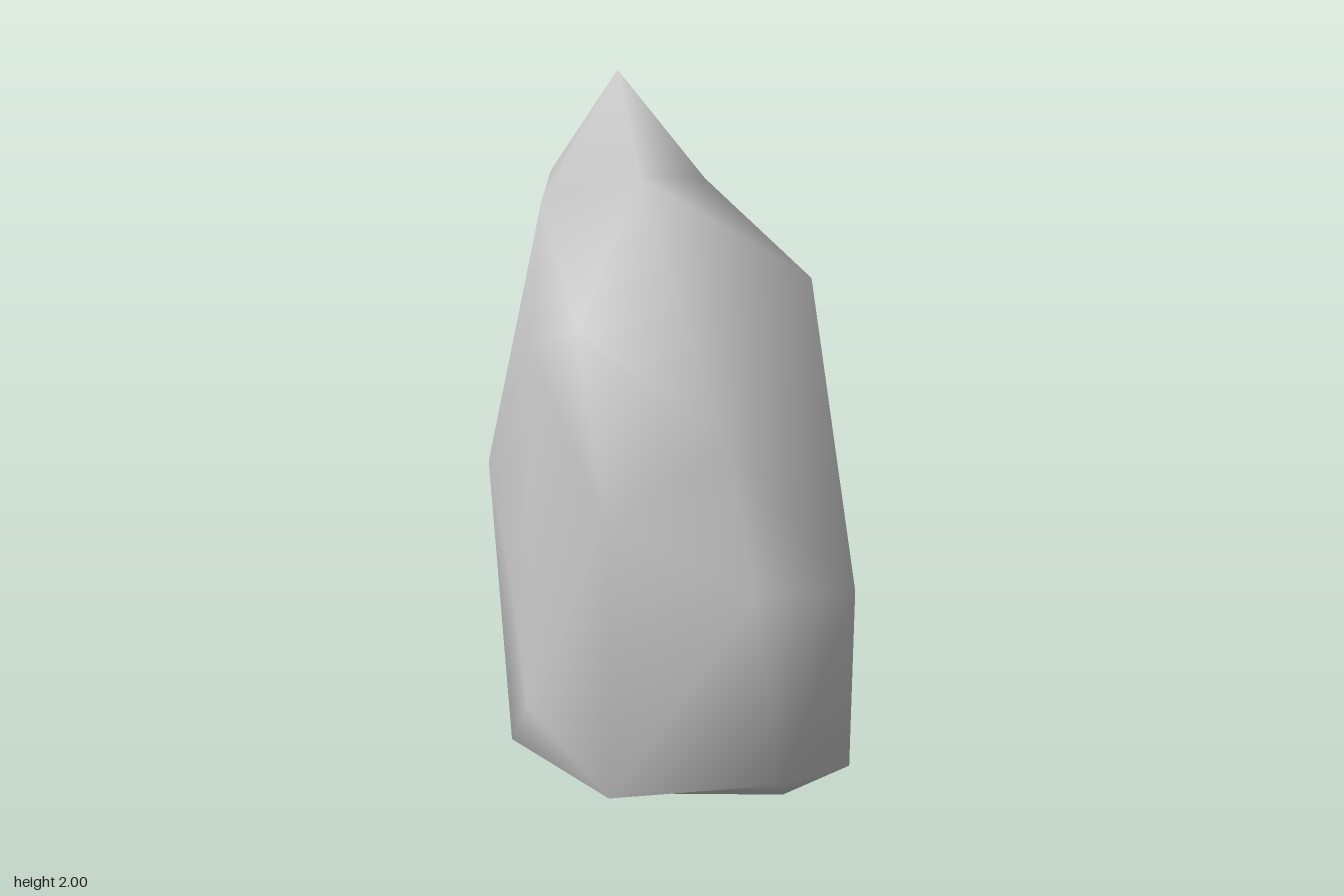
import * as THREE from 'three';
import { ConvexGeometry } from 'three/addons/geometries/ConvexGeometry.js';
import { mergeVertices } from 'three/addons/utils/BufferGeometryUtils.js';

// Corners of the boulder, from the foot up to the peak
const corners = [
  // underside
  [0.285, 0, 0.09], [0.3, 0.05, -0.17], [-0.09, 0.06, -0.33], [-0.15, 0.055, 0.27], [0.21, 0.055, 0.46],
  // foot
  [0.35, 0.18, -0.34], [0.08, 0.15, -0.7], [-0.4, 0.15, -0.03], [-0.31, 0.14, 0.42], [0.365, 0.15, 0.555],
  [0.055, 0.22, 0.7], [0.445, 0.22, 0.34], [-0.465, 0.37, 0.24],
  // flanks
  [0.275, 0.43, -0.54], [-0.18, 0.43, -0.6], [-0.4, 0.64, -0.02], [0.37, 0.66, 0.55], [0.03, 0.72, 0.6],
  [0.46, 0.83, -0.02], [-0.27, 0.88, 0.34], [-0.34, 0.9, -0.31], [0.165, 0.96, -0.62], [-0.2, 1.04, -0.5],
  [0, 1.1, 0.49],
  // shoulders
  [-0.36, 1.3, 0.04], [0.405, 1.34, 0.04], [0.4, 1.0, -0.2], [-0.32, 1.38, 0.27], [0.295, 1.5, 0.41],
  [-0.26, 1.67, -0.09],
  // crown
  [-0.07, 1.71, -0.45], [0.17, 1.73, 0.05], [-0.05, 1.75, 0.095], [0.12, 1.77, -0.67],
  [0.23, 1.855, -0.51], [0.115, 2, -0.38],
].map((p) => new THREE.Vector3(...p));

const centre = new THREE.Vector3(0, 0.95, 0);
const radii = new THREE.Vector3(0.45, 1, 0.65);

// Hull the corners inflated towards an ellipsoid, then move them back,
// so that shallow hollows in the flanks survive.
function boulderGeometry() {
  const inflated = corners.map((p) => {
    const q = p.clone().sub(centre).divide(radii);
    return q.setLength(Math.pow(q.length(), 0.15)).multiply(radii);
  });
  const geometry = new ConvexGeometry(inflated);
  const position = geometry.attributes.position;
  const v = new THREE.Vector3();
  for (let i = 0; i < position.count; i++) {
    v.fromBufferAttribute(position, i);
    let nearest = 0;
    inflated.forEach((q, k) => {
      if (q.distanceToSquared(v) < inflated[nearest].distanceToSquared(v)) nearest = k;
    });
    position.setXYZ(i, ...corners[nearest].toArray());
  }
  // Shared corners give smooth shading
  geometry.deleteAttribute('normal');
  const smooth = mergeVertices(geometry);
  smooth.computeVertexNormals();
  return smooth;
}

export function createModel() {
  const model = new THREE.Group();
  model.name = 'rock';
  const stone = new THREE.MeshStandardMaterial({ color: 0xc8c8c8 });
  stone.name = 'grey stone';
  const boulder = new THREE.Mesh(boulderGeometry(), stone);
  boulder.name = 'boulder';
  model.add(boulder);
  return model;
}
